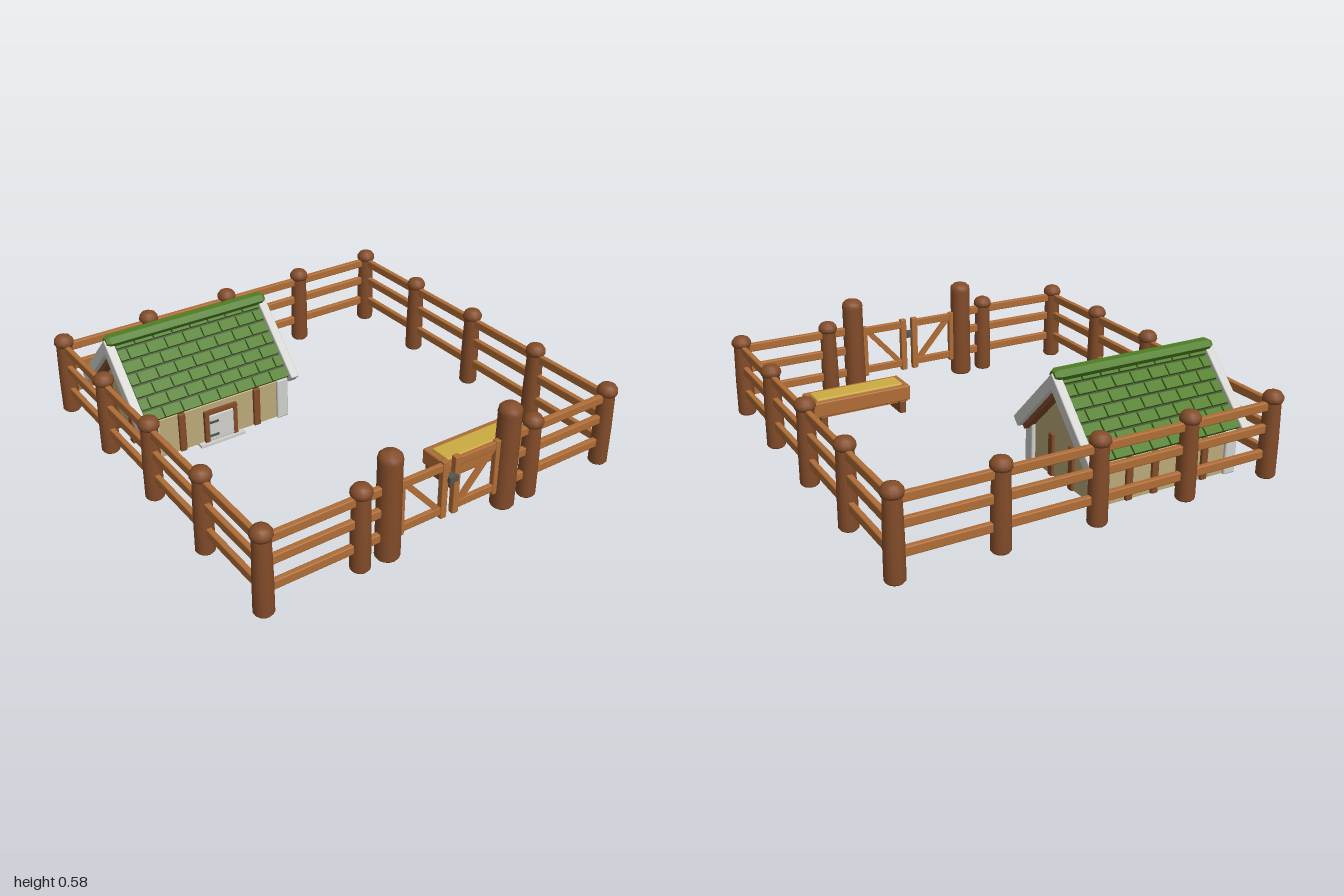
import * as THREE from 'three';
import { RoundedBoxGeometry } from 'three/addons/geometries/RoundedBoxGeometry.js';

const mat = (name, color) => Object.assign(new THREE.MeshStandardMaterial({ color }), { name });
const M = {
  log: mat('dark log brown', 0x834c29),
  rail: mat('rail brown', 0xb06d36),
  pale: mat('pale stone grey', 0xd0d0cc),
  wall: mat('wall beige', 0xbba978),
  tile: mat('tile green', 0x4f7d22),
  under: mat('roof underlay dark green', 0x2a4411),
  hay: mat('hay yellow', 0xcdab42),
  metal: mat('dark metal', 0x55554f),
};

function add(parent, name, geo, material, x = 0, y = 0, z = 0) {
  const mesh = new THREE.Mesh(geo, material);
  mesh.name = name;
  mesh.position.set(x, y, z);
  parent.add(mesh);
  return mesh;
}
// Box given by its extents on each axis, with optional softened edges
function box(parent, name, material, [x0, x1], [y0, y1], [z0, z1], r = 0) {
  const s = [x1 - x0, y1 - y0, z1 - z0];
  const geo = r ? new RoundedBoxGeometry(...s, 1, r) : new THREE.BoxGeometry(...s);
  return add(parent, name, geo, material, (x0 + x1) / 2, (y0 + y1) / 2, (z0 + z1) / 2);
}
const lathe = pts => new THREE.LatheGeometry(pts.map(p => new THREE.Vector2(...p)), 14);
function group(parent, name) {
  const g = new THREE.Group();
  g.name = name;
  parent.add(g);
  return g;
}

function buildFence(root) {
  const fence = group(root, 'fence');
  const E = 0.945, steps = [-E, -0.472, 0, 0.472, E];
  const post = lathe([[0, 0.005], [0.038, 0.005], [0.046, 0.015], [0.045, 0.2], [0.04, 0.385]]);
  const cap = lathe([[0, 0.38], [0.044, 0.38], [0.05, 0.393], [0.048, 0.41], [0.036, 0.427], [0.018, 0.435], [0, 0.437]]);
  const put = (x, z) => {
    add(fence, 'fencePost', post, M.log, x, 0, z);
    add(fence, 'fencePostCap', cap, M.log, x, 0, z);
  };
  for (const x of steps) {
    put(x, -E);
    if (x !== 0) put(x, E);
    if (Math.abs(x) < E) { put(-E, x); put(E, x); }
  }
  // Three rails on every side, with the front left open for the gate
  for (const y of [0.128, 0.255, 0.365]) {
    const h = [y - 0.022, y + 0.022], t = 0.014;
    box(fence, 'backRail', M.rail, [-E, E], h, [-E - t, -E + t], 0.006);
    for (const s of [-1, 1]) {
      box(fence, 'sideRail', M.rail, [s * E - t, s * E + t], h, [-E, E], 0.006);
      box(fence, 'frontRail', M.rail, s < 0 ? [-E, -0.33] : [0.33, E], h, [E - t, E + t], 0.006);
    }
  }
}

function buildGate(root) {
  const gate = group(root, 'gate'), Z = 0.942;
  const post = lathe([[0, 0.005], [0.05, 0.005], [0.057, 0.015], [0.054, 0.49], [0.056, 0.5], [0.052, 0.52], [0.036, 0.535], [0, 0.543]]);
  for (const s of [-1, 1]) {
    add(gate, 'gatePost', post, M.log, s * 0.327, 0, Z);
    const leaf = group(gate, 'gateLeaf');
    const span = (a, b) => (s > 0 ? [a, b] : [-b, -a]);
    box(leaf, 'innerStile', M.rail, span(0.017, 0.05), [0.085, 0.38], [Z - 0.015, Z + 0.015], 0.004);
    box(leaf, 'outerStile', M.rail, span(0.25, 0.28), [0.09, 0.375], [Z - 0.014, Z + 0.014], 0.004);
    for (const y of [0.35, 0.125])
      box(leaf, 'gateRail', M.rail, span(0.03, 0.3), [y - 0.02, y + 0.02], [Z - 0.011, Z + 0.011], 0.004);
    const brace = box(leaf, 'gateBrace', M.rail, [-0.148, 0.148], [-0.014, 0.014], [-0.009, 0.009]);
    brace.position.set(s * 0.15, 0.238, Z);
    brace.rotation.z = s * Math.atan2(0.225, 0.2);
  }
  box(gate, 'gateLatch', M.metal, [-0.024, 0.024], [0.27, 0.3], [Z - 0.01, 0.974]);
}

function buildTrough(root) {
  const trough = group(root, 'feedTrough');
  const X = [0.175, 0.715], Z = [0.552, 0.725], w = 0.033;
  for (const x of [0.225, 0.663])
    box(trough, 'troughFoot', M.log, [x - 0.018, x + 0.018], [0.005, 0.075], [0.54, 0.737], 0.006);
  box(trough, 'troughBottom', M.rail, [0.19, 0.7], [0.062, 0.09], [0.56, 0.717]);
  for (const [a, b] of [[Z[0], Z[0] + w], [Z[1] - w, Z[1]]])
    box(trough, 'troughLongSide', M.rail, X, [0.068, 0.15], [a, b], 0.008);
  for (const [a, b] of [[X[0], X[0] + w], [X[1] - w, X[1]]])
    box(trough, 'troughEnd', M.rail, [a, b], [0.068, 0.15], Z, 0.008);
  box(trough, 'hay', M.hay, [0.205, 0.685], [0.085, 0.158], [0.582, 0.695], 0.008);
}

function buildHut(root) {
  const hut = group(root, 'hut');
  hut.position.set(-0.4475, 0, -0.55);
  // Walls with gables in one prism
  const s = new THREE.Shape([[-0.285, 0.01], [0.285, 0.01], [0.285, 0.215], [0, 0.5], [-0.285, 0.215]].map(p => new THREE.Vector2(...p)));
  const walls = add(hut, 'walls', new THREE.ExtrudeGeometry(s, { depth: 0.75, bevelEnabled: false }), M.wall, -0.375);
  walls.rotation.y = Math.PI / 2;
  for (const sx of [-1, 1]) {
    for (const sz of [-1, 1]) {
      const x = sx * 0.362, z = sz * 0.268;
      box(hut, 'cornerPost', M.pale, [x - 0.032, x + 0.032], [0.005, 0.225], [z - 0.032, z + 0.032], 0.008);
    }
    // Upright timbers on the gables
    for (const z of [-0.085, 0.085])
      box(hut, 'gableTimber', M.log, sx < 0 ? [-0.39, -0.37] : [0.37, 0.39], [0.01, 0.225], [z - 0.018, z + 0.018], 0.005);
  }
  const timber = (x, sz) => box(hut, 'wallTimber', M.log, [x - 0.018, x + 0.018], [0.01, 0.22],
    sz > 0 ? [0.28, 0.3] : [-0.3, -0.28], 0.005);
  for (const x of [-0.21, 0.21]) { timber(x, 1); timber(x, -1); }
  for (const x of [-0.07, 0.07]) timber(x, -1);

  // Door, frame, hinges and step
  const door = group(hut, 'door');
  for (const x of [-0.08, 0.08])
    box(door, 'doorJamb', M.log, [x - 0.011, x + 0.011], [0.01, 0.175], [0.28, 0.303]);
  box(door, 'doorLintel', M.log, [-0.091, 0.091], [0.165, 0.185], [0.28, 0.305]);
  box(door, 'doorPanel', M.pale, [-0.068, 0.068], [0.018, 0.163], [0.28, 0.308], 0.006);
  for (const y of [0.05, 0.125])
    box(door, 'doorHinge', M.metal, [-0.068, -0.02], [y - 0.006, y + 0.006], [0.306, 0.312]);
  box(door, 'doorStep', M.pale, [-0.125, 0.125], [0, 0.013], [0.27, 0.318]);

  // Roof: two slopes meeting at a right angle
  const rows = 7, pitch = 0.452 / rows, tileW = 0.1, half = 0.4;
  for (const side of [0, Math.PI]) {
    const turn = group(hut, 'roofSide');
    turn.position.y = 0.56;
    turn.rotation.y = side;
    const slope = group(turn, 'roofSlope');
    slope.rotation.x = Math.PI / 4;
    box(slope, 'roofUnderlay', M.under, [-half, half], [-0.04, -0.024], [0.025, 0.44]);
    box(slope, 'eaveBeam', M.log, [-0.395, 0.395], [-0.062, -0.04], [0.405, 0.44]);
    for (const sx of [-1, 1]) {
      const x = sx * 0.423;
      box(slope, 'bargeBoard', M.pale, [x - 0.023, x + 0.023], [-0.057, 0], [0, 0.462], 0.006);
      box(slope, 'rafter', M.log, [sx * 0.4 - 0.022, sx * 0.4 + 0.022], [-0.08, -0.05], [0.05, 0.45]);
    }
    for (let r = 0; r < rows; r++) {
      const z0 = r * pitch + 0.002, off = r % 2 ? tileW / 2 : 0;
      for (let x = -half - off; x < half - 0.01; x += tileW) {
        const a = Math.max(x, -half) + 0.004, b = Math.min(x + tileW, half) - 0.004;
        const tile = box(slope, 'roofTile', M.tile, [a, b], [-0.024, -0.01], [z0, z0 + pitch - 0.011]);
        tile.rotation.x = -0.08;
      }
    }
  }
  // Ridge cap: six-sided bar with tapered ends
  const bar = new THREE.LatheGeometry([[0, -0.438], [0.027, -0.438], [0.04, -0.42], [0.04, 0.42], [0.027, 0.438], [0, 0.438]]
    .map(p => new THREE.Vector2(...p)), 6).toNonIndexed();
  bar.computeVertexNormals();
  const ridge = add(hut, 'ridgeCap', bar, M.tile, 0, 0.548, 0);
  ridge.rotation.z = Math.PI / 2;
  ridge.scale.set(0.78, 1, 1);
}

export function createModel() {
  const root = new THREE.Group();
  root.name = 'animalPen';
  buildFence(root);
  buildGate(root);
  buildTrough(root);
  buildHut(root);
  return root;
}
